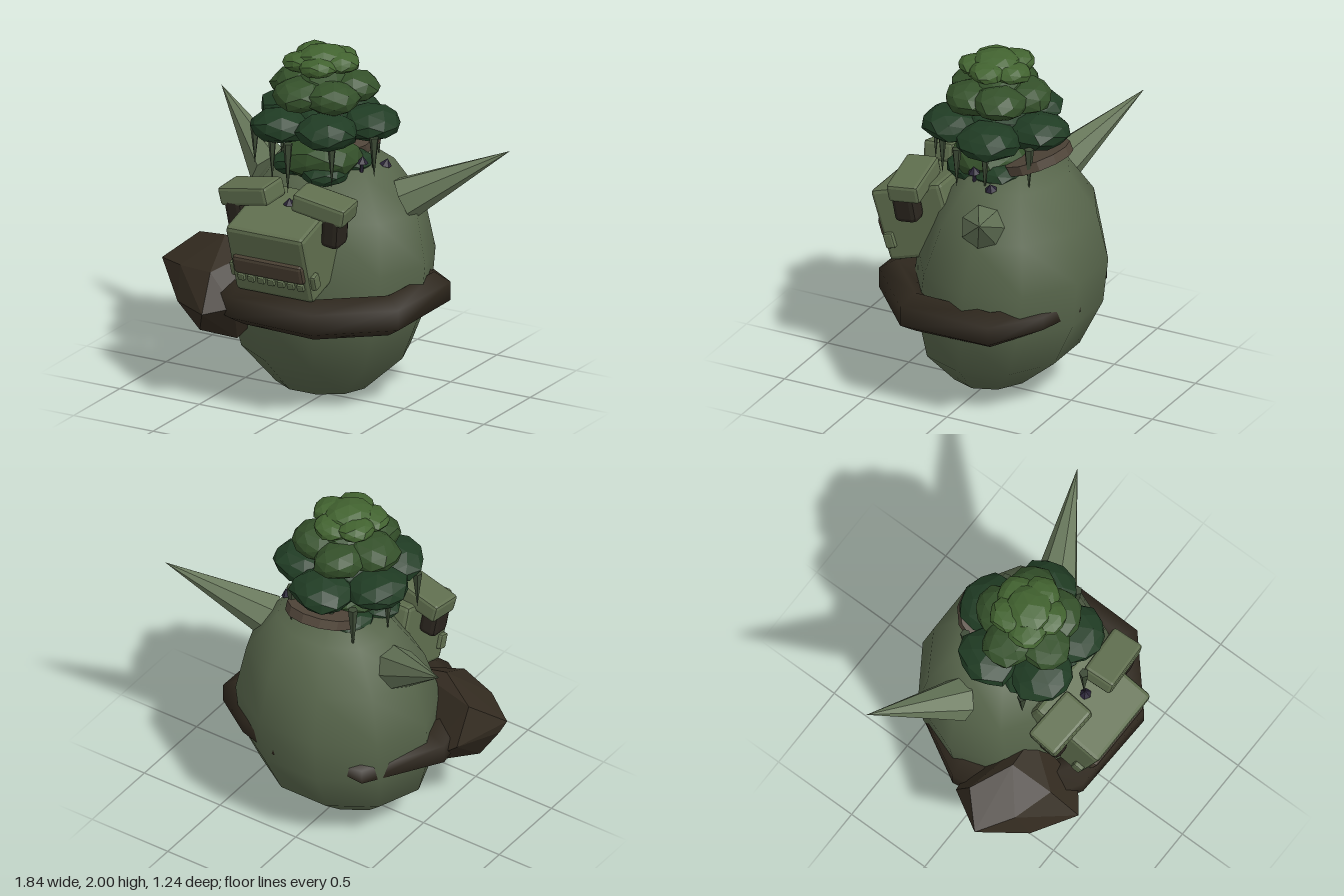
import * as THREE from 'three';
import { RoundedBoxGeometry } from 'three/addons/geometries/RoundedBoxGeometry.js';
import { ConvexGeometry } from 'three/addons/geometries/ConvexGeometry.js';

const mat = (color, flatShading = true) =>
  new THREE.MeshStandardMaterial({ color, flatShading, side: THREE.DoubleSide });
const skin = mat(0x5f6e4e), skinSmooth = mat(0x56644a, false), hornMat = mat(0x67775a);
const bark = mat(0x332b20), barkSmooth = mat(0x2e271d, false), eyeMat = mat(0x2a251e), lipMat = mat(0x4a4033);
const shelfMat = mat(0x51463a), vineMat = mat(0x3c4a35), sporeMat = mat(0x2b2538);
const leafDark = mat(0x203c24), leafMid = mat(0x34502a), leafLight = mat(0x426330);
const V = (x, y, z) => new THREE.Vector3(x, y, z);

function add(parent, name, geometry, material, x = 0, y = 0, z = 0) {
  const m = new THREE.Mesh(geometry, material);
  m.name = name;
  m.position.set(x, y, z);
  parent.add(m);
  return m;
}
const block = (w, h, d, r) => new RoundedBoxGeometry(w, h, d, 1, r);

// Cone standing with its base at one point and its tip at another
function spike(parent, name, base, tip, radius, sides, material) {
  const dir = tip.clone().sub(base);
  const m = add(parent, name, new THREE.ConeGeometry(radius, dir.length(), sides), material);
  m.position.copy(base).addScaledVector(dir, 0.5);
  m.quaternion.setFromUnitVectors(V(0, 1, 0), dir.normalize());
  return m;
}

// Egg-shaped body: rings of height, half width, front z and back z
function bodyGeometry() {
  const rings = [
    [0.005, 0, 0, 0], [0.07, 0.265, 0.2, -0.23], [0.27, 0.48, 0.35, -0.46],
    [0.54, 0.57, 0.4, -0.59], [0.8, 0.58, 0.36, -0.62], [1.08, 0.515, 0.25, -0.56],
    [1.31, 0.34, 0.1, -0.42], [1.39, 0, -0.14, -0.14]];
  const sides = 10;
  const g = new THREE.LatheGeometry(rings.map(r => new THREE.Vector2(r[1], r[0])), sides, Math.PI / sides);
  const p = g.attributes.position;
  for (let i = 0; i < p.count; i++) {
    const [, rx, front, back] = rings[i % rings.length];
    const depth = rx ? (front - back) / 2 / (rx * Math.cos(Math.PI / sides)) : 0;
    p.setXYZ(i, p.getX(i) - 0.025, p.getY(i), p.getZ(i) * depth + (front + back) / 2);
  }
  return g;
}

// Belt: hexagonal sections along a path of x, y, z and radius, thinning at the ends
function beltGeometry() {
  const path = [
    [-0.22, 0.61, -0.49, 0.03], [-0.38, 0.6, -0.44, 0.085], [-0.58, 0.59, -0.06, 0.11], [-0.53, 0.6, 0.28, 0.115],
    [-0.25, 0.615, 0.45, 0.115], [0.2, 0.61, 0.465, 0.115], [0.51, 0.605, 0.19, 0.115], [0.525, 0.61, -0.28, 0.105],
    [0.3, 0.62, -0.46, 0.075], [0.07, 0.63, -0.55, 0.06], [-0.02, 0.63, -0.53, 0.02]];
  const pos = [], index = [], n = 6;
  path.forEach(([x, y, z, r], i) => {
    const out = V(x + 0.02, 0, z + 0.08).normalize();
    for (let j = 0; j < n; j++) {
      const a = (j + 0.5) / n * Math.PI * 2, c = r * Math.cos(a);
      pos.push(x + out.x * c, y + r * Math.sin(a), z + out.z * c);
      if (i < path.length - 1) {
        const k = (j + 1) % n, here = i * n, next = here + n;
        index.push(here + j, next + j, next + k, here + j, next + k, here + k);
      }
    }
  });
  const g = new THREE.BufferGeometry();
  g.setAttribute('position', new THREE.Float32BufferAttribute(pos, 3));
  g.setIndex(index);
  g.computeVertexNormals();
  return g;
}

// Flattened leaf clump with a slightly uneven surface
function clump(parent, x, y, z, r, h, seed, material) {
  const g = new THREE.IcosahedronGeometry(1, 1);
  const p = g.attributes.position;
  for (let i = 0; i < p.count; i++) {
    const a = p.getX(i), b = p.getY(i), c = p.getZ(i);
    const k = 1 + 0.1 * Math.sin(3 * a + 4 * c + seed * 2.1) * Math.cos(2 * b - 3 * c + seed);
    p.setXYZ(i, a * k * r, Math.max(-0.8, b * k) * h, c * k * r);
  }
  return add(parent, 'leafClump', g, material, x, y, z);
}

function canopyLayer(parent, count, ring, r, y, h, phase, material) {
  for (let i = 0; i < count; i++) {
    const a = phase + i / count * Math.PI * 2;
    clump(parent, -0.03 + ring * Math.sin(a), y + 0.012 * (i % 2), -0.03 + ring * Math.cos(a), r, h, i + y * 5, material);
  }
}

function mushroom(parent, x, y, z, tilt) {
  const g = new THREE.Group();
  g.name = 'mushroom';
  g.position.set(x, y, z);
  g.rotation.z = tilt;
  add(g, 'stem', new THREE.CylinderGeometry(0.009, 0.012, 0.08, 5), sporeMat, 0, 0, 0);
  add(g, 'cap', new THREE.ConeGeometry(0.035, 0.04, 6), sporeMat, 0, 0.05, 0);
  parent.add(g);
}

export function createModel() {
  const root = new THREE.Group();
  add(root, 'body', bodyGeometry(), skinSmooth);
  add(root, 'belt', beltGeometry(), barkSmooth);

  // Boulder on the right flank
  add(root, 'boulder', new ConvexGeometry([
    V(-0.88, 0.71, 0.25), V(-0.5, 0.9, 0.22), V(-0.73, 0.84, 0.1), V(-0.28, 0.86, 0.2),
    V(-0.42, 0.57, 0.61), V(-0.66, 0.56, 0.46), V(-0.85, 0.64, 0.22), V(-0.7, 0.41, 0.25), V(-0.36, 0.36, 0.33),
    V(-0.28, 0.6, 0.5), V(-0.72, 0.62, 0), V(-0.5, 0.45, -0.05), V(-0.46, 0.76, 0.45), V(-0.25, 0.5, 0.2),
    V(-0.69, 0.74, 0.38), V(-0.52, 0.42, 0.46)]), bark);

  // Head block, leaning forward
  const head = new THREE.Group();
  head.name = 'head';
  head.position.set(-0.025, 0.98, 0.35);
  head.rotation.x = 0.31;
  root.add(head);
  add(head, 'snout', block(0.49, 0.42, 0.45, 0.025), skin, 0, 0, 0);
  add(head, 'lip', block(0.44, 0.115, 0.06, 0.02), lipMat, 0, -0.02, 0.22);
  for (let i = 0; i < 7; i++)
    add(head, 'tooth', block(0.042, 0.04, 0.03, 0.008), skin, (i - 3) * 0.062, -0.105, 0.23);
  for (const s of [-1, 1]) add(head, 'jawHinge', block(0.05, 0.09, 0.06, 0.012), skin, s * 0.245, -0.085, 0.18);

  for (const s of [-1, 1]) {
    // Eyes tucked under heavy brows
    const eye = add(root, 'eye', block(0.11, 0.2, 0.14, 0.03), eyeMat, -0.025 + s * 0.3, 1.12, 0.365);
    eye.rotation.set(0.12, 0, -s * 0.12);
    const brow = add(root, 'brow', block(0.32, 0.11, 0.19, 0.02), skin, -0.022 + s * 0.23, 1.24, 0.36);
    brow.rotation.set(0.1, s * 0.07, -s * 0.2);
  }

  // Horns
  spike(root, 'leftHorn', V(0.4, 1.15, -0.17), V(0.92, 1.44, -0.42), 0.125, 7, hornMat);
  spike(root, 'rightHorn', V(-0.44, 1.16, -0.18), V(-0.92, 1.48, -0.46), 0.125, 7, hornMat);

  // Tree on the back: core, base shrubs and three canopy layers
  const tree = new THREE.Group();
  tree.name = 'tree';
  root.add(tree);
  add(tree, 'trunk', new THREE.CylinderGeometry(0.07, 0.11, 0.6, 7), bark, -0.03, 1.55, -0.03);
  clump(tree, 0, 1.38, 0.01, 0.215, 0.125, 3, leafMid);
  canopyLayer(tree, 4, 0.14, 0.14, 1.32, 0.07, 0.6, leafDark);
  canopyLayer(tree, 5, 0.25, 0.175, 1.575, 0.095, Math.PI, leafDark);
  clump(tree, -0.03, 1.6, -0.03, 0.2, 0.1, 1, leafDark);
  canopyLayer(tree, 5, 0.16, 0.15, 1.75, 0.09, 0.9, leafMid);
  clump(tree, -0.03, 1.79, -0.03, 0.15, 0.085, 2, leafMid);
  canopyLayer(tree, 5, 0.115, 0.105, 1.91, 0.055, 0.3, leafLight);
  clump(tree, -0.03, 1.935, -0.03, 0.14, 0.066, 4, leafLight);

  // Hanging vines
  for (let i = 0; i < 10; i++) {
    const a = i * 0.628 + 0.1 * (i % 3), r = i % 2 ? 0.29 : 0.36;
    const x = -0.03 + r * Math.sin(a), z = -0.01 + r * Math.cos(a);
    spike(tree, 'vine', V(x, 1.55, z), V(x, 1.26 + 0.03 * (i % 3), z), 0.028, 5, vineMat);
  }

  // Shelf fungus behind the tree, and small mushrooms
  const shelf = add(root, 'shelfFungus', new THREE.CylinderGeometry(0.195, 0.195, 0.055, 12), shelfMat, -0.02, 1.42, -0.285);
  shelf.rotation.x = 0.4;
  mushroom(root, -0.02, 1.17, 0.35, 0);
  mushroom(root, 0.28, 1.3, -0.16, -0.3);
  mushroom(root, 0.22, 1.34, -0.02, -0.1);
  return root;
}
